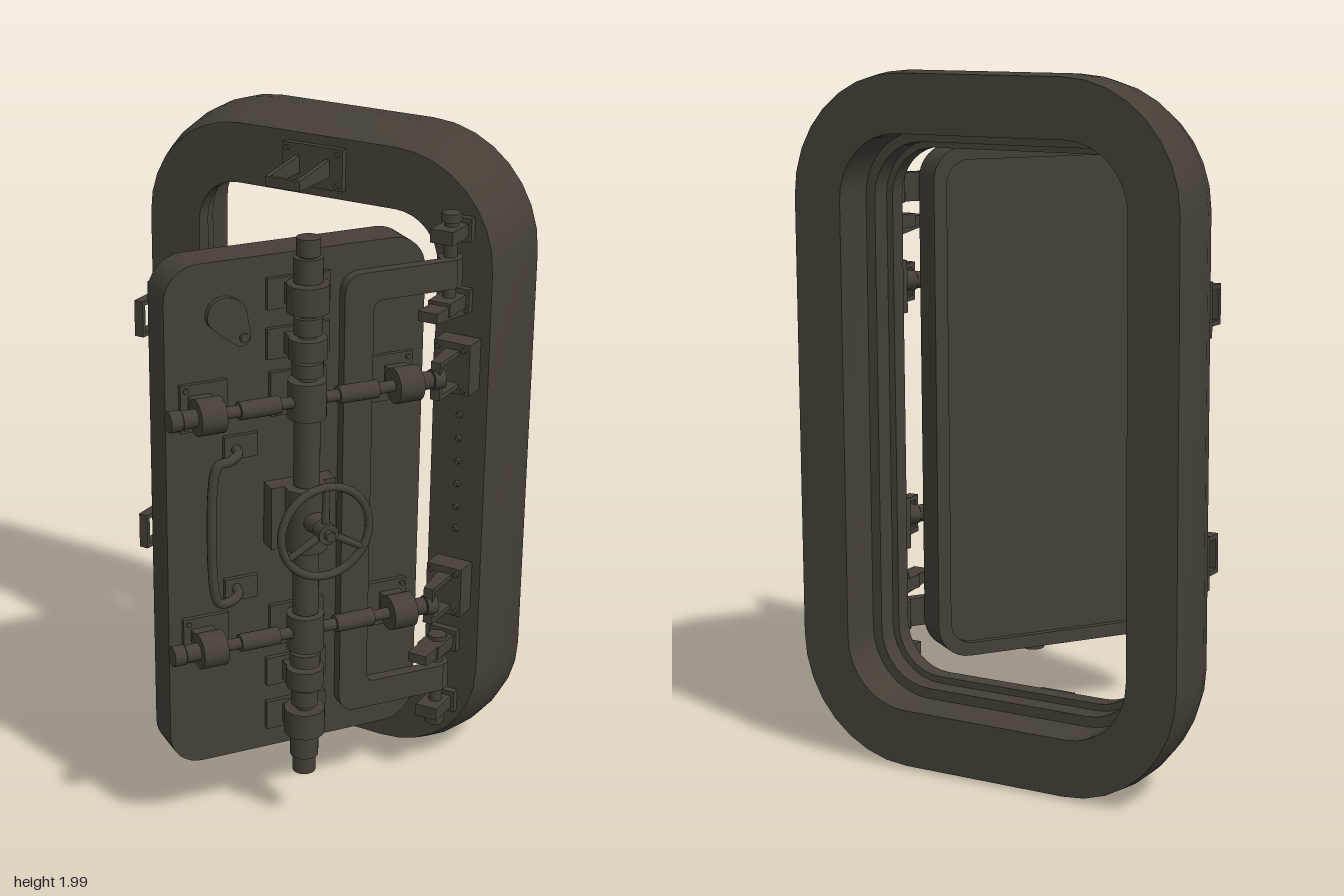
import * as THREE from 'three';
import { toCreasedNormals } from 'three/addons/utils/BufferGeometryUtils.js';

const steel = new THREE.MeshStandardMaterial({ color: 0x453f36 });
steel.name = 'dark steel';
const MID = 1.005;

function add(parent, name, geo, x = 0, y = 0, z = 0) {
  const m = new THREE.Mesh(geo, steel);
  m.name = name;
  m.position.set(x, y, z);
  parent.add(m);
  return m;
}
const box = (p, name, w, h, d, x, y, z) => add(p, name, new THREE.BoxGeometry(w, h, d), x, y, z);
// cylinder along a chosen axis
function rod(p, name, r, len, x, y, z, axis = 'y', r2 = r, seg = 20) {
  const m = add(p, name, new THREE.CylinderGeometry(r2, r, len, seg), x, y, z);
  if (axis === 'x') m.rotation.z = -Math.PI / 2;
  if (axis === 'z') m.rotation.x = Math.PI / 2;
  return m;
}
// counter-clockwise rounded rectangle
function ring(hw, hh, r, seg = 8) {
  const pts = [];
  [[1, 1], [-1, 1], [-1, -1], [1, -1]].forEach(([sx, sy], k) => {
    for (let i = 0; i <= seg; i++) {
      const a = (k + i / seg) * Math.PI / 2;
      pts.push(new THREE.Vector2(sx * (hw - r) + r * Math.cos(a), sy * (hh - r) + r * Math.sin(a)));
    }
  });
  return pts;
}
function extrude(shape, depth) {
  return toCreasedNormals(new THREE.ExtrudeGeometry(shape, { depth, bevelEnabled: false, curveSegments: 10 }), 0.6);
}
// closed loft through rounded rectangles [half width, half height, radius, z]
function loftFrame(profile) {
  const pos = [], idx = [], rings = profile.map(([w, h, r]) => ring(w, h, r));
  const n = rings[0].length, m = rings.length;
  rings.forEach((pts, j) => pts.forEach(p => pos.push(p.x, p.y, profile[j][3])));
  for (let j = 0; j < m; j++) for (let i = 0; i < n; i++) {
    const a = j * n + i, b = j * n + (i + 1) % n, c = ((j + 1) % m) * n + i, d = ((j + 1) % m) * n + (i + 1) % n;
    idx.push(a, b, c, b, d, c);
  }
  const g = new THREE.BufferGeometry();
  g.setAttribute('position', new THREE.Float32BufferAttribute(pos, 3));
  g.setIndex(idx);
  g.computeVertexNormals();
  return toCreasedNormals(g, 0.6);
}
// tapered plate pointing along +z, straight edge toward +y
function prong(p, width, x, y, z) {
  const s = new THREE.Shape([[0, -0.03], [0.19, -0.005], [0.19, 0.025], [0, 0.025]].map(a => new THREE.Vector2(...a)));
  const m = add(p, 'prong', extrude(s, width), x + width / 2, y, z);
  m.rotation.y = -Math.PI / 2;
  return m;
}
// latch keeper: base pad, two prongs, end bar and four bolts
function keeper(parent, x, y, turn, w, h, thick) {
  const g = new THREE.Group();
  g.name = 'latchKeeper';
  g.position.set(x, y, -0.3);
  g.rotation.z = turn;
  box(g, 'keeperPad', w, h, thick, 0, 0, thick / 2);
  for (const s of [-1, 1]) {
    prong(g, 0.014, s * 0.05, 0, 0);
    for (const t of [-1, 1]) rod(g, 'bolt', 0.008, 0.012, s * (w / 2 - 0.016), t * (h / 2 - 0.016), thick + 0.004, 'z', 0.008, 8);
  }
  box(g, 'keeperBar', 0.114, 0.03, 0.014, 0, 0.01, 0.183);
  parent.add(g);
}

function buildFrame() {
  const f = new THREE.Group();
  f.name = 'doorFrame';
  add(f, 'frameRim', loftFrame([
    [0.608, 0.988, 0.35, -0.54], [0.615, 0.995, 0.36, -0.48], [0.612, 0.992, 0.355, -0.43],
    [0.6, 0.978, 0.34, -0.36], [0.58, 0.955, 0.32, -0.3], [0.405, 0.773, 0.14, -0.3],
    [0.405, 0.773, 0.14, -0.35], [0.425, 0.793, 0.16, -0.35], [0.425, 0.793, 0.16, -0.41],
    [0.455, 0.823, 0.19, -0.41], [0.455, 0.823, 0.19, -0.54]]), 0, MID, 0);
  keeper(f, 0, 1.87, Math.PI, 0.2, 0.125, 0.02);
  keeper(f, 0, 0.14, 0, 0.2, 0.125, 0.02);
  for (const s of [-1, 1]) {
    for (const y of [0.65, 1.36]) keeper(f, s * 0.495, y, -s * Math.PI / 2, 0.155, 0.115, 0.07);
    for (let i = 0; i < 6; i++)
      rod(f, 'rimBolt', 0.011, 0.012, s * 0.493, 0.825 + i * 0.073, -0.296, 'z', 0.008, 10);
    // hinge lugs and pin, above and below the centre
    const yy = d => MID + s * d;
    for (const d of [0.755, 0.545]) {
      box(f, 'hingeLug', 0.07, 0.04, 0.12, 0.475, yy(d), -0.24);
      box(f, 'hingeLugPad', 0.09, 0.07, 0.025, 0.475, yy(d), -0.29);
    }
    rod(f, 'hingePin', 0.02, 0.29, 0.475, yy(0.665), -0.24);
    for (const d of [0.8, 0.525]) rod(f, 'hingePinNut', 0.03, 0.025, 0.475, yy(d), -0.24, 'y', 0.03, 6);
    const stop = prong(f, 0.06, 0.475, yy(0.55), -0.3);
    if (s > 0) { stop.rotation.set(0, -Math.PI / 2, 0); stop.position.y -= 0.02; }
  }
  return f;
}

function buildDoor() {
  const d = new THREE.Group();
  d.name = 'door';
  d.position.set(0.207, MID, 0.156);
  d.rotation.y = 55 * Math.PI / 180;

  // panel with a raised rim on the back
  add(d, 'doorPanel', extrude(new THREE.Shape(ring(0.395, 0.765, 0.1)), 0.095), 0, 0, -0.095);
  const rim = new THREE.Shape(ring(0.395, 0.765, 0.1));
  rim.holes.push(new THREE.Path(ring(0.355, 0.725, 0.07).reverse()));
  add(d, 'doorBackRim', extrude(rim, 0.02), 0, 0, -0.115);

  // C-shaped hinge strap
  const c = new THREE.Shape();
  c.moveTo(0.48, 0.685); c.lineTo(0.19, 0.685);
  c.quadraticCurveTo(0.13, 0.685, 0.13, 0.62); c.lineTo(0.13, -0.62);
  c.quadraticCurveTo(0.13, -0.685, 0.19, -0.685); c.lineTo(0.48, -0.685);
  c.lineTo(0.48, -0.6); c.lineTo(0.25, -0.6);
  c.quadraticCurveTo(0.22, -0.6, 0.22, -0.57); c.lineTo(0.22, 0.57);
  c.quadraticCurveTo(0.22, 0.6, 0.25, 0.6); c.lineTo(0.48, 0.6);
  add(d, 'hingeStrap', extrude(c, 0.035));

  // vertical locking shaft
  const Z = 0.072;
  rod(d, 'lockShaft', 0.027, 1.64, 0, 0, Z);
  for (const s of [-1, 1]) {
    rod(d, 'shaftSleeve', 0.038, 0.2, 0, s * 0.2, Z);
    rod(d, 'shaftJunction', 0.055, 0.11, 0, s * 0.36, Z);
    rod(d, 'shaftCollar', 0.045, 0.04, 0, s * 0.45, Z);
    rod(d, 'shaftCollar', 0.055, 0.06, 0, s * 0.51, Z);
    rod(d, 'shaftSleeve', 0.04, 0.05, 0, s * 0.575, Z);
    rod(d, 'shaftBearing', 0.06, 0.08, 0, s * 0.655, Z);
    rod(d, 'shaftCollar', 0.042, 0.07, 0, s * 0.735, Z);
    rod(d, 'shaftTip', 0.034, 0.05, 0, s * 0.8, Z);
    for (const y of [0.655, 0.51]) {
      box(d, 'bearingBlock', 0.09, 0.06, Z, 0, s * y, Z / 2);
      box(d, 'bearingFoot', 0.19, 0.09, 0.014, 0, s * y, 0.007);
    }
    box(d, 'junctionFoot', 0.17, 0.13, 0.014, 0, s * 0.36, 0.007);

    // horizontal locking bars with their clamps
    const y = s * 0.357;
    rod(d, 'lockBar', 0.017, 0.8, 0, y, Z + 0.008, 'x');
    for (const t of [-1, 1]) {
      rod(d, 'barSleeve', 0.026, 0.12, t * 0.15, y, Z + 0.008, 'x');
      rod(d, 'barClamp', 0.052, 0.075, t * 0.3, y, Z + 0.008, 'x');
      box(d, 'clampBlock', 0.065, 0.075, 0.07, t * 0.3, y, 0.035);
      box(d, 'clampPlate', 0.14, 0.14, 0.014, t * 0.285, y, 0.007);
      rod(d, 'barNeck', 0.026, 0.05, t * 0.355, y, Z + 0.008, 'x');
      rod(d, 'barTip', 0.03, 0.035, t * 0.4, y, Z + 0.008, 'x');
      for (const v of [-1, 1]) rod(d, 'plateBolt', 0.008, 0.01, t * 0.34, y + v * 0.055, 0.017, 'z', 0.008, 8);
    }
  }

  // gearbox and handwheel
  box(d, 'gearboxBase', 0.2, 0.19, 0.055, 0, 0, 0.028);
  rod(d, 'gearboxBody', 0.062, 0.19, 0, 0, Z);
  rod(d, 'wheelShaft', 0.034, 0.07, 0, 0.005, 0.15, 'z', 0.022);
  const w = new THREE.Group();
  w.name = 'handwheel';
  w.position.set(0, 0.005, 0.2);
  add(w, 'wheelRim', new THREE.TorusGeometry(0.135, 0.012, 10, 40));
  rod(w, 'wheelHub', 0.03, 0.045, 0, 0, 0, 'z');
  rod(w, 'wheelNut', 0.016, 0.02, 0, 0, 0.03, 'z', 0.016, 6);
  for (let i = 0; i < 3; i++) {
    const a = Math.PI / 2 + i * Math.PI * 2 / 3;
    const sp = rod(w, 'wheelSpoke', 0.013, 0.125, 0.07 * Math.cos(a), 0.07 * Math.sin(a), 0, 'y', 0.009, 10);
    sp.rotation.z = a - Math.PI / 2;
  }
  d.add(w);

  // grab handle
  const half = [[-0.19, 0.215, 0.01], [-0.2, 0.215, 0.05], [-0.24, 0.215, 0.088], [-0.275, 0.212, 0.093], [-0.29, 0.18, 0.093]];
  const path = half.concat(half.slice().reverse().map(([x, y, z]) => [x, -y, z])).map(p => new THREE.Vector3(...p));
  add(d, 'grabHandle', new THREE.TubeGeometry(new THREE.CatmullRomCurve3(path, false, 'centripetal'), 60, 0.014, 10));
  for (const s of [-1, 1]) box(d, 'handlePlate', 0.1, 0.07, 0.014, -0.175, s * 0.22, 0.007);

  // peephole cover
  const tear = new THREE.Shape();
  tear.moveTo(-0.185, -0.06);
  tear.quadraticCurveTo(-0.15, -0.065, -0.145, -0.035);
  tear.lineTo(-0.16, 0.05);
  tear.quadraticCurveTo(-0.185, 0.085, -0.225, 0.085);
  tear.quadraticCurveTo(-0.275, 0.08, -0.275, 0.025);
  tear.quadraticCurveTo(-0.27, 0, -0.185, -0.06);
  add(d, 'peepholeCover', extrude(tear, 0.018), 0, 0.58, 0);
  rod(d, 'peepholePivot', 0.013, 0.03, -0.168, 0.545, 0.015, 'z', 0.013, 10);

  // hinge knuckles turning on the pins
  for (const s of [-1, 1]) rod(d, 'hingeKnuckle', 0.035, 0.085, 0.478, s * 0.6425, -0.005);
  return d;
}

export function createModel() {
  const g = new THREE.Group();
  g.name = 'hatchDoor';
  g.add(buildFrame(), buildDoor());
  return g;
}
